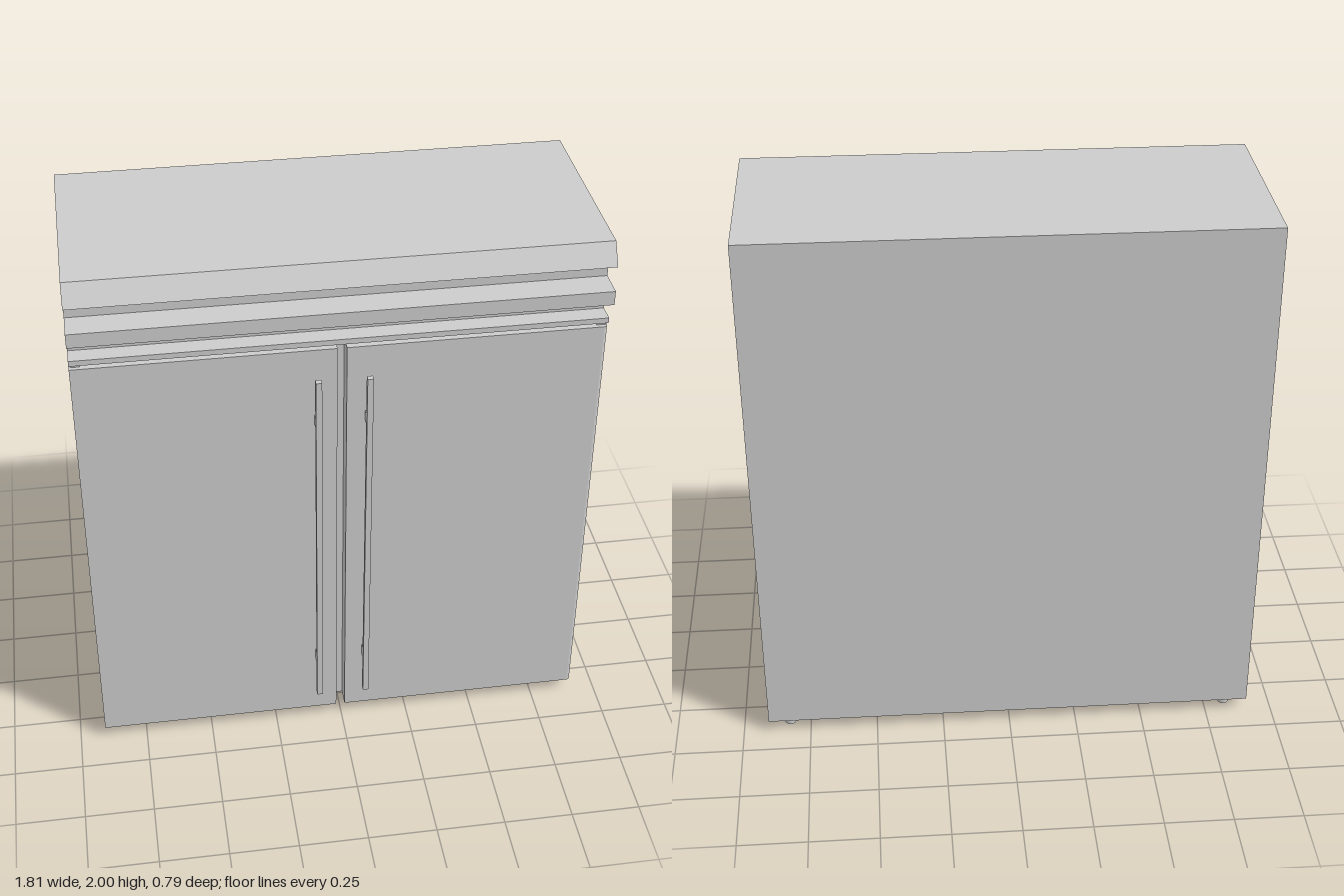
import * as THREE from 'three';

const HALF = 0.906, BOTTOM = 0.045, DOOR_BACK = 0.29, DOOR_FRONT = 0.355;

export function createModel() {
  const group = new THREE.Group();
  const steel = new THREE.MeshStandardMaterial({ color: 0xcccccc });
  steel.name = 'brushed steel';

  const add = (name, geometry, x = 0, y = 0, z = 0) => {
    const mesh = new THREE.Mesh(geometry, steel);
    mesh.name = name;
    mesh.position.set(x, y, z);
    group.add(mesh);
    return mesh;
  };
  const box = (name, x0, x1, y0, y1, z0, z1) =>
    add(name, new THREE.BoxGeometry(x1 - x0, y1 - y0, z1 - z0),
      (x0 + x1) / 2, (y0 + y1) / 2, (z0 + z1) / 2);

  // Cabinet: side profile (z, y) with the louvred top, extruded across the width
  const profile = [
    [-0.395, BOTTOM], [-0.395, 2], [0.342, 2], [0.39, 1.927],
    [DOOR_BACK, 1.927], [DOOR_BACK, 1.837], [0.394, 1.837], [0.394, 1.785],
    [DOOR_BACK, 1.785], [DOOR_BACK, 1.71], [DOOR_FRONT, 1.71], [DOOR_FRONT, 1.69],
    [0.34, 1.682], [DOOR_BACK, 1.682], [DOOR_BACK, BOTTOM],
  ];
  const side = new THREE.Shape(profile.map(([z, y]) => new THREE.Vector2(-z, y)));
  const cabinet = new THREE.ExtrudeGeometry(side, { depth: 2 * HALF, bevelEnabled: false });
  cabinet.translate(0, 0, -HALF).rotateY(Math.PI / 2);
  add('cabinet', cabinet);

  // Doors with a narrow gap between them; the left one has a rounded outer edge
  const top = 1.676;
  box('rightDoor', -HALF, -0.019, BOTTOM, top, DOOR_BACK, DOOR_FRONT);
  const r = 0.015;
  const plan = new THREE.Shape();
  plan.moveTo(0.013, -DOOR_BACK);
  plan.lineTo(0.013, -DOOR_FRONT);
  plan.lineTo(HALF - r, -DOOR_FRONT);
  plan.absarc(HALF - r, -DOOR_FRONT + r, r, -Math.PI / 2, 0, false);
  plan.lineTo(HALF, -DOOR_BACK);
  const door = new THREE.ExtrudeGeometry(plan, { depth: top - BOTTOM, bevelEnabled: false, curveSegments: 5 });
  door.rotateX(-Math.PI / 2);
  add('leftDoor', door, 0, BOTTOM, 0);

  for (const s of [-1, 1]) {
    const label = s > 0 ? 'left' : 'right';
    // Long bar handle on two brackets
    const x = s * 0.0875, w = 0.0105;
    box(label + 'Handle', x - w, x + w, 0.145, 1.57, 0.376, 0.397);
    for (const [y0, y1] of [[0.298, 0.34], [1.377, 1.415]])
      box(label + 'HandleBracket', x - w, x + w, y0, y1, DOOR_FRONT - 0.002, 0.378);

    // Small hinge plates in the slit above the doors
    box(label + 'Hinge', s * 0.885 - 0.015, s * 0.885 + 0.015, 1.674, 1.684, 0.3, 0.34);

    // Feet
    for (const z of [0.25, -0.339])
      add(label + 'Foot', new THREE.CylinderGeometry(0.021, 0.021, BOTTOM, 20), s * 0.827, BOTTOM / 2, z);
  }
  return group;
}
